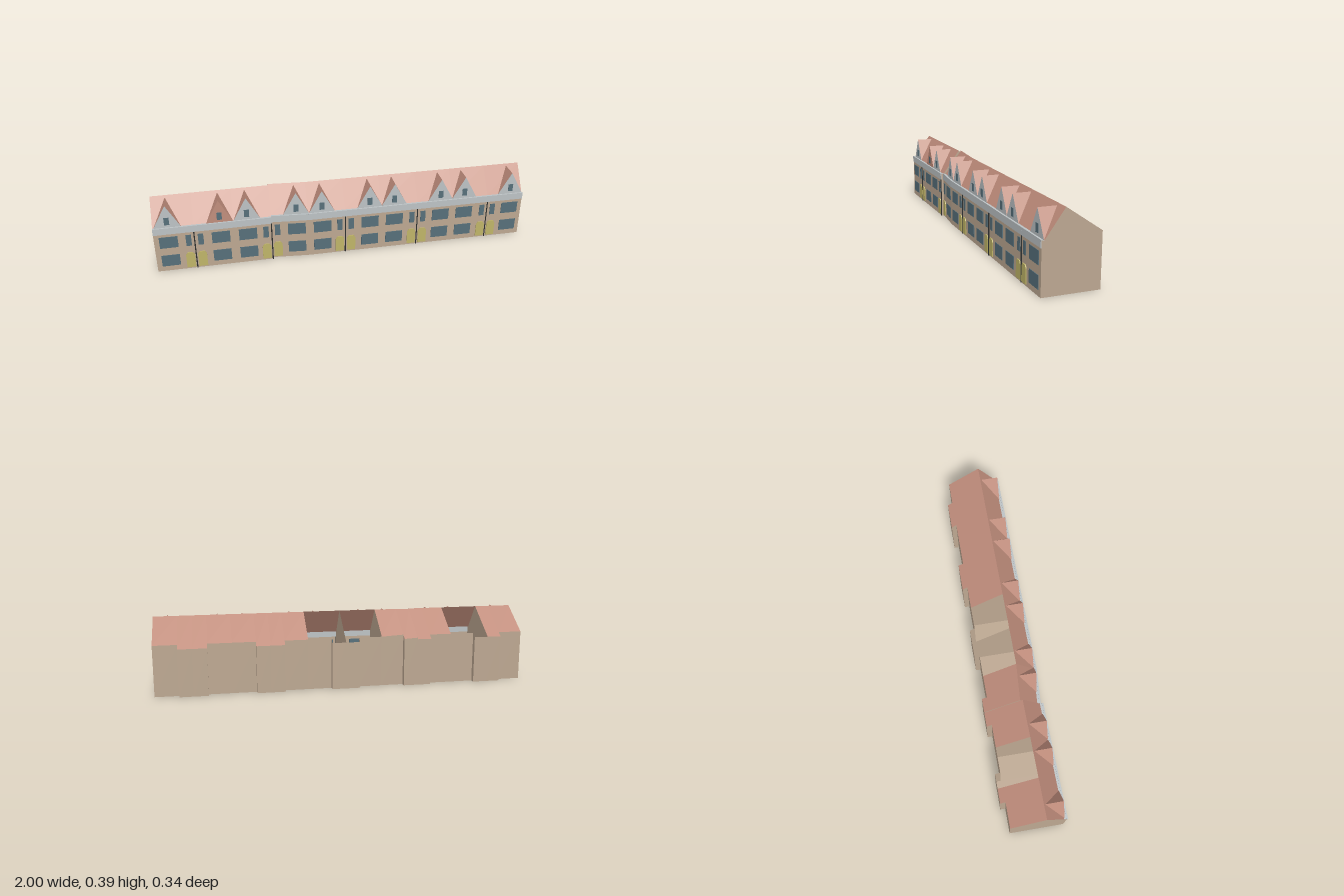
import * as THREE from 'three';

const mat = (name, color, side = THREE.FrontSide) => {
  const m = new THREE.MeshStandardMaterial({ color, side });
  m.name = name;
  return m;
};

// House boundaries along the row and the heights they share
const XS = [-1, -0.795, -0.59, -0.395, -0.2, 0, 0.2, 0.4, 0.6, 0.8, 1];
const DORMERS = [-0.925, -0.66, -0.52, -0.262, -0.125, 0.135, 0.27, 0.53, 0.665, 0.93];
const OPEN = [1, 4, 5]; // houses without a rear roof slope
const EAVE = 0.255, RIDGE = 0.39, BUMP = 0.075;

// Front line of the row: two straight runs with one skewed house between them
const lerp = THREE.MathUtils.mapLinear;
function frontZ(i, x) {
  if (i < 3) return lerp(x, -1, -0.395, 0.163, 0.153);
  if (i === 3) return lerp(x, -0.395, -0.2, 0.14, 0.154);
  return lerp(x, -0.2, 1, 0.154, 0.144);
}
const ridgeZ = (i, x) => frontZ(i, x) - 0.11;
const backZ = (x, bump) => lerp(x, -1, 1, -0.125, -0.143) - (bump ? 0.027 : 0);
const backY = (i, x, z) => RIDGE - 0.68 * (ridgeZ(i, x) - z);

// Flat faces from lists of corners, fanned into triangles
function faces(name, material, polygons) {
  const pos = [];
  for (const p of polygons)
    for (let k = 1; k < p.length - 1; k++) pos.push(...p[0], ...p[k], ...p[k + 1]);
  const g = new THREE.BufferGeometry();
  g.setAttribute('position', new THREE.Float32BufferAttribute(pos, 3));
  g.computeVertexNormals();
  const mesh = new THREE.Mesh(g, material);
  mesh.name = name;
  return mesh;
}

export function createModel() {
  const model = new THREE.Group();
  model.name = 'terracedHouses';
  const wall = mat('tan wall', 0xbca791, THREE.DoubleSide);
  const roof = mat('clay roof', 0xc08d7c, THREE.DoubleSide);
  const trim = mat('pale grey trim', 0xbcc2c4, THREE.DoubleSide);
  const glass = mat('slate glass', 0x566f7a);
  const door = mat('yellow door', 0xbfb468);
  const dark = mat('dark pipe', 0x2f3232);

  for (let i = 0; i < 10; i++) {
    const house = new THREE.Group();
    house.name = 'house' + (i + 1);
    model.add(house);
    const x0 = XS[i], x1 = XS[i + 1];
    const shared = i % 2 ? x0 : x1;   // side where the pair of houses meets
    const dir = i % 2 ? 1 : -1;       // from the shared side into this house
    const f = x => frontZ(i, x), r = x => ridgeZ(i, x);
    const angle = -Math.atan((f(x1) - f(x0)) / (x1 - x0));

    // Box fixed to the facade
    const plate = (name, material, a, b, y0, y1, depth) => {
      const m = new THREE.Mesh(new THREE.BoxGeometry(b - a, y1 - y0, depth), material);
      m.position.set((a + b) / 2, (y0 + y1) / 2, f((a + b) / 2));
      m.rotation.y = angle;
      m.name = name;
      house.add(m);
    };

    // Rear wall, floor and rear roof, stepping out beside the shared side
    const walls = [], rear = [];
    const step = shared + dir * BUMP;
    for (const bump of [false, true]) {
      const ends = bump ? [shared, step] : [step, i % 2 ? x1 : x0];
      const a = Math.min(...ends), b = Math.max(...ends);
      const za = backZ(a, bump), zb = backZ(b, bump);
      const ya = backY(i, a, za), yb = backY(i, b, zb);
      walls.push([[b, 0, zb], [a, 0, za], [a, ya, za], [b, yb, zb]]);
      walls.push([[a, 0, za], [b, 0, zb], [b, 0, f(b)], [a, 0, f(a)]]);
      rear.push([[b, yb, zb], [a, ya, za], [a, RIDGE, r(a)], [b, RIDGE, r(b)]]);
    }
    const s0 = backZ(step, false), s1 = backZ(step, true);
    walls.push([[step, 0, s0], [step, 0, s1], [step, backY(i, step, s1), s1], [step, backY(i, step, s0), s0]]);

    // Front wall and gable-shaped cross walls
    walls.push([[x0, 0, f(x0)], [x1, 0, f(x1)], [x1, EAVE, f(x1)], [x0, EAVE, f(x0)]]);
    const crossWall = x => {
      const z = backZ(x, x === shared);
      walls.push([[x, 0, z], [x, 0, f(x)], [x, EAVE, f(x)], [x, EAVE, f(x) - 0.014],
        [x, RIDGE, r(x)], [x, backY(i, x, z), z]]);
    };
    crossWall(x0);
    if (i === 2 || i === 9) crossWall(x1);
    house.add(faces('walls', wall, walls));
    if (!OPEN.includes(i)) house.add(faces('rearRoof', roof, rear));

    // Front roof slope and eaves ledge
    house.add(faces('frontRoof', roof, [[[x0, EAVE, f(x0) - 0.014], [x1, EAVE, f(x1) - 0.014],
      [x1, RIDGE, r(x1)], [x0, RIDGE, r(x0)]]]));
    house.add(faces('eavesLedge', trim, [[[x0, EAVE, f(x0)], [x1, EAVE, f(x1)],
      [x1, EAVE, f(x1) - 0.014], [x0, EAVE, f(x0) - 0.014]]]));
    plate('cornice', trim, x0, x1, 0.222, 0.259, 0.008);

    // Dormer with triangular gable and small window
    const c = DORMERS[i], w = 0.069;
    const left = [c - w, EAVE, f(c - w) - 0.011], right = [c + w, EAVE, f(c + w) - 0.011];
    const top = [c, 0.38, f(c) - 0.011], back = [c, 0.38, r(c) + 0.007];
    house.add(faces('dormerGable', i === 1 ? roof : trim, [[left, right, top]]));
    house.add(faces('dormerRoof', roof, [[left, top, back], [top, right, back]]));
    const pane = new THREE.Mesh(new THREE.BoxGeometry(0.026, 0.042, 0.004), glass);
    pane.position.set(c, 0.291, f(c) - 0.011);
    pane.rotation.y = angle;
    pane.name = 'dormerWindow';
    house.add(pane);

    // Wide windows on both floors and a narrow one above the door
    const wc = i === 0 || i === 9 ? c + (i ? 0 : -0.002) : c;
    for (const y of [0.03, 0.14])
      plate('wideWindow', glass, wc - 0.047, wc + 0.047, y, y + 0.065, 0.006);
    const n = shared + dir * 0.031;
    plate('narrowWindow', glass, n - 0.014, n + 0.014, 0.14, 0.205, 0.006);

    // Door with clipped upper corners
    const shape = new THREE.Shape([[-0.023, 0], [0.023, 0], [0.023, 0.075], [0.013, 0.09],
      [-0.013, 0.09], [-0.023, 0.075]].map(p => new THREE.Vector2(...p)));
    const d = shared + dir * 0.031;
    const leaf = new THREE.Mesh(new THREE.ExtrudeGeometry(shape, { depth: 0.005, bevelEnabled: false }), door);
    leaf.position.set(d, 0.009, f(d));
    leaf.rotation.y = angle;
    leaf.name = 'door';
    house.add(leaf);

    // Downpipe where the pair of houses meets
    if (i % 2 === 0) {
      const pipe = new THREE.Mesh(new THREE.CylinderGeometry(0.003, 0.003, 0.222, 8), dark);
      pipe.position.set(shared - 0.001, 0.111, f(shared) + 0.002);
      pipe.name = 'downpipe';
      house.add(pipe);
    }
  }
  return model;
}
